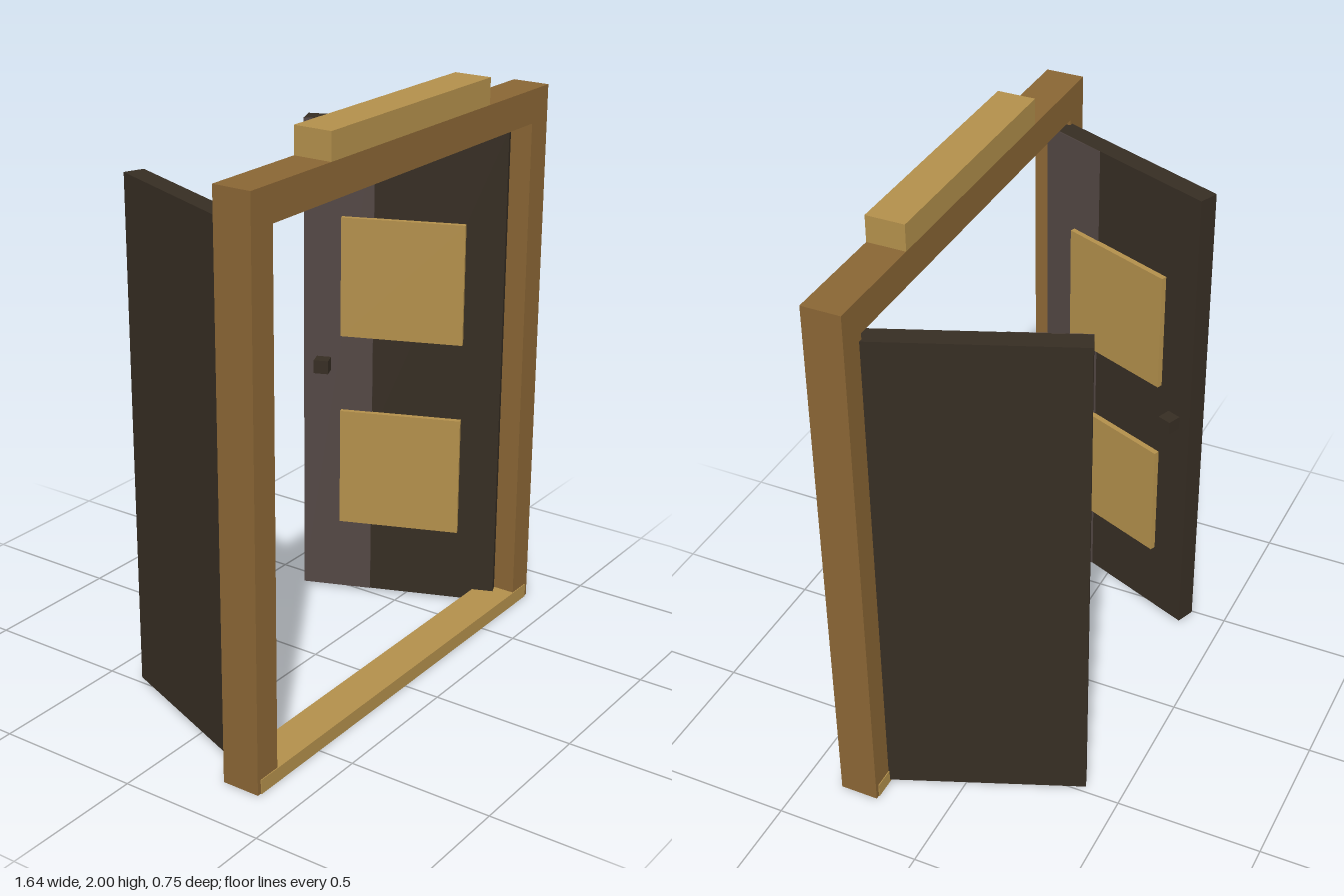
import * as THREE from 'three';

const mat = (name, hex) => {
  const m = new THREE.MeshStandardMaterial({ color: hex });
  m.name = name;
  return m;
};

export function createModel() {
  const frameWood = mat('frame wood', 0x896534);
  const trimWood = mat('light trim wood', 0xb28f4b);
  const doorWood = mat('dark door wood', 0x362d23);
  const greyWood = mat('grey brown board', 0x534744);

  const model = new THREE.Group();
  model.name = 'openDoubleDoor';

  // Box given by its lower and upper corners
  const box = (parent, name, material, [x0, y0, z0], [x1, y1, z1]) => {
    const mesh = new THREE.Mesh(new THREE.BoxGeometry(x1 - x0, y1 - y0, z1 - z0), material);
    mesh.position.set((x0 + x1) / 2, (y0 + y1) / 2, (z0 + z1) / 2);
    mesh.name = name;
    parent.add(mesh);
  };

  // Frame: posts, lintel, cap and threshold
  const back = 0.238, front = 0.37;
  box(model, 'leftPost', frameWood, [0.72, 0.001, back], [0.82, 1.795, front]);
  box(model, 'rightPost', frameWood, [-0.82, 0.001, back], [-0.72, 1.795, front]);
  box(model, 'lintel', frameWood, [-0.82, 1.795, back], [0.82, 1.91, front]);
  box(model, 'cap', trimWood, [-0.44, 1.91, back], [0.44, 2, front]);
  box(model, 'threshold', trimWood, [-0.805, 0, back - 0.003], [0.805, 0.05, front + 0.003]);

  // Door leaves: local x runs from hinge to free edge, the inner face lies on z = 0
  const width = 0.707, thick = 0.07, swing = THREE.MathUtils.degToRad(68);
  for (const side of [-1, 1]) {
    const door = new THREE.Group();
    door.name = side > 0 ? 'leftDoor' : 'rightDoor';
    door.position.set(side * 0.685, 0, 0.305);
    door.rotation.y = side < 0 ? swing : Math.PI - swing;
    model.add(door);

    // Depth is measured inward from the inner face
    const part = (name, material, x0, x1, y0, y1, d0, d1) => {
      const z = [-side * d0, -side * d1].sort((a, b) => a - b);
      box(door, name, material, [x0, y0, z[0]], [x1, y1, z[1]]);
    };
    part('leaf', doorWood, 0, width, 0.01, 1.775, -thick, 0);

    // Board strip: at the hinge of one leaf, at the free edge of the other
    const s = side < 0 ? 0 : width - 0.25;
    part('boardStrip', greyWood, s, s + 0.25, 0.01, 1.775, 0, 0.002);

    // Raised panels and knob
    part('lowerPanel', trimWood, 0.135, 0.57, 0.28, 0.715, 0, 0.02);
    part('upperPanel', trimWood, 0.135, 0.57, 1.0, 1.435, 0, 0.02);
    part('knob', doorWood, 0.608, 0.66, 0.863, 0.912, 0, 0.05);
  }
  return model;
}
